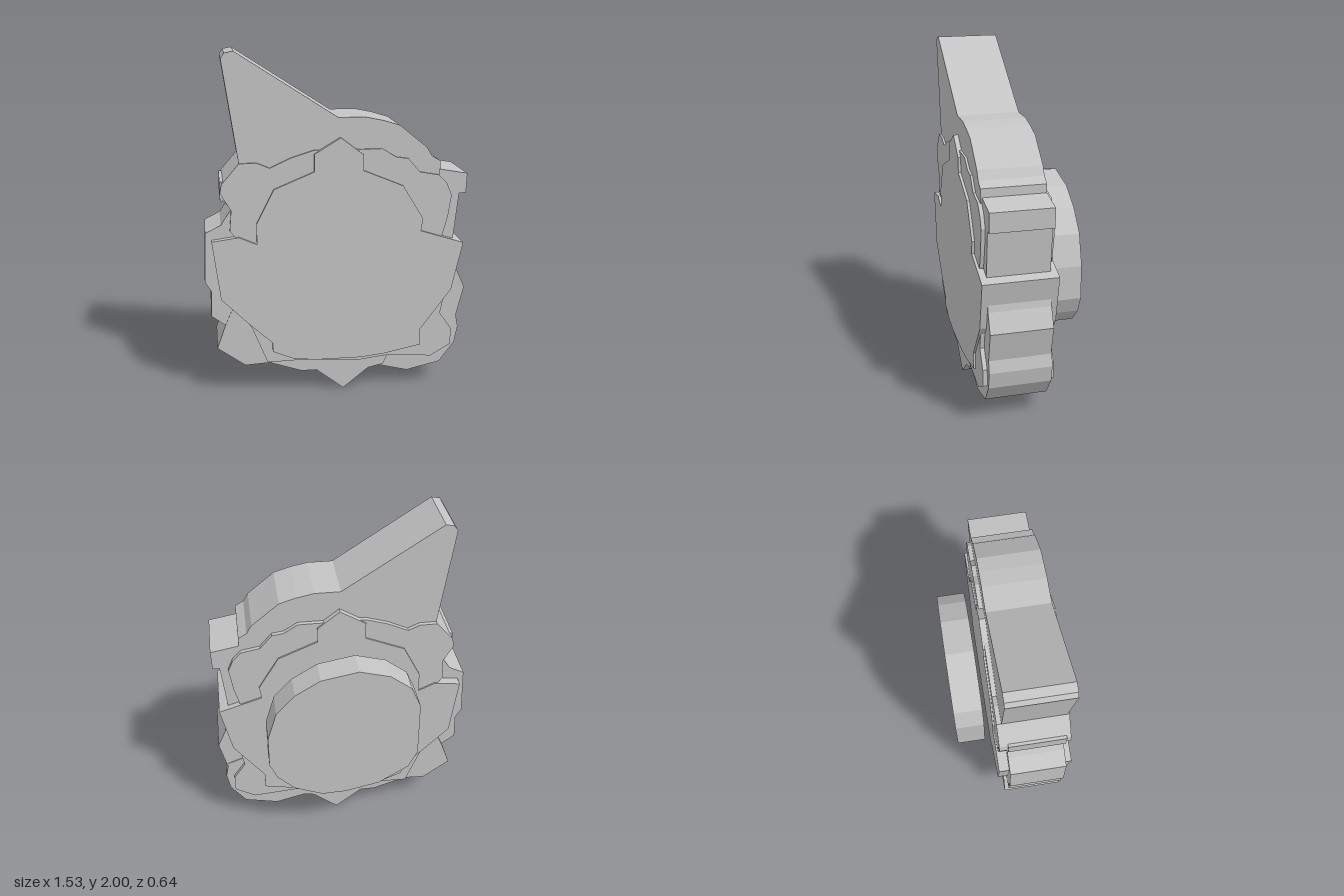
import * as THREE from 'three';

const gray = new THREE.MeshStandardMaterial({ color: 0xc4c4c4 });
gray.name = 'plain gray';

// Straight-sided plate: outline in x/y, extruded from z0 to z1
function plate(name, z0, z1, outline) {
  const shape = new THREE.Shape(outline.map(([x, y]) => new THREE.Vector2(x, y)));
  const geo = new THREE.ExtrudeGeometry(shape, { depth: z1 - z0, bevelEnabled: false });
  geo.translate(0, 0, z0);
  const mesh = new THREE.Mesh(geo, gray);
  mesh.name = name;
  return mesh;
}

export function createModel() {
  const group = new THREE.Group();
  group.name = 'badge';
  group.add(
    // Central shield, the thickest layer
    plate('shield', -0.11, 0.32, [
      [0.01, 1.52], [-0.14, 1.43], [-0.14, 1.33], [-0.37, 1.235], [-0.47, 1.04], [-0.47, 0.92],
      [-0.57, 0.965], [-0.725, 0.945], [-0.68, 0.6], [-0.5, 0.42], [-0.39, 0.32], [-0.39, 0.265],
      [-0.27, 0.215], [-0.14, 0.2], [0.13, 0.2], [0.27, 0.215], [0.49, 0.26], [0.49, 0.36],
      [0.67, 0.6], [0.735, 0.885], [0.48, 0.965], [0.49, 1.04], [0.37, 1.235], [0.14, 1.33], [0.14, 1.42],
    ]),
    // Pointed crest flowing into the rounded shoulder
    plate('crest', -0.073, 0.292, [
      [-0.575, 2], [-0.625, 1.99], [-0.645, 1.96], [-0.56, 1.38], [-0.5, 1.1], [0.5, 1.1],
      [0.59, 1.3], [0.59, 1.37], [0.54, 1.4], [0.51, 1.45], [0.35, 1.58], [0.25, 1.61], [0.15, 1.63], [0, 1.63],
    ]),
    // Upper lobes
    plate('rightLobe', -0.1, 0.305, [
      [-0.14, 1.45], [-0.27, 1.41], [-0.39, 1.355], [-0.46, 1.385], [-0.56, 1.385], [-0.66, 1.27],
      [-0.67, 1.22], [-0.61, 1.12], [-0.62, 1.0], [-0.5, 0.85], [0, 0.85], [0, 1.45],
    ]),
    plate('leftLobe', -0.1, 0.305, [
      [0.14, 1.45], [0, 1.45], [0, 0.85], [0.5, 0.85], [0.61, 0.93], [0.64, 1.04], [0.66, 1.17],
      [0.63, 1.24], [0.58, 1.29], [0.47, 1.31], [0.4, 1.39], [0.33, 1.4], [0.25, 1.45],
    ]),
    // Side teeth
    plate('rightTeeth', -0.05, 0.28, [
      [-0.4, 1.28], [-0.67, 1.28], [-0.67, 1.17], [-0.65, 1.17], [-0.61, 1.12], [-0.67, 1.03],
      [-0.76, 0.985], [-0.77, 0.7], [-0.735, 0.64], [-0.74, 0.49], [-0.66, 0.43], [-0.4, 0.43],
    ]),
    plate('leftTeeth', -0.073, 0.283, [
      [0.4, 0.42], [0.715, 0.42], [0.76, 0.6], [0.71, 0.71], [0.68, 0.9], [0.71, 1.175],
      [0.75, 1.175], [0.755, 1.29], [0.59, 1.32], [0.4, 1.32],
    ]),
    // Lower corners and bottom point
    plate('rightCorner', -0.07, 0.285, [
      [-0.3, 0.6], [-0.62, 0.52], [-0.66, 0.43], [-0.71, 0.29], [-0.55, 0.175], [-0.36, 0.185], [-0.3, 0.185],
    ]),
    plate('leftCorner', -0.078, 0.283, [
      [0.3, 0.6], [0.18, 0.15], [0.24, 0.13], [0.42, 0.085], [0.62, 0.13], [0.71, 0.25], [0.73, 0.35], [0.71, 0.45],
    ]),
    plate('bottomPoint', -0.08, 0.297, [
      [0.03, 0], [0.18, 0.12], [0.27, 0.14], [0.35, 0.3], [-0.45, 0.3], [-0.4, 0.185], [-0.22, 0.125], [-0.13, 0.125],
    ]),
    // Thin rim step around the lower shield
    plate('lowerRim', -0.1, 0.308, [
      [-0.6, 0.55], [-0.51, 0.42], [-0.42, 0.195], [-0.2, 0.2], [0.13, 0.18], [0.3, 0.2], [0.56, 0.18],
      [0.68, 0.25], [0.68, 0.35], [0.61, 0.45], [0.63, 0.55],
    ]),
    // Separate rounded pad behind
    plate('backPad', -0.325, -0.155, [
      [0.465, 0.62], [0.465, 0.82], [0.41, 1], [0.3, 1.12], [0.15, 1.21], [-0.07, 1.25], [-0.25, 1.2],
      [-0.38, 1.1], [-0.435, 0.97], [-0.435, 0.62], [-0.38, 0.51], [-0.2, 0.4], [0, 0.355], [0.15, 0.35],
      [0.32, 0.42], [0.42, 0.52],
    ]),
  );
  return group;
}
